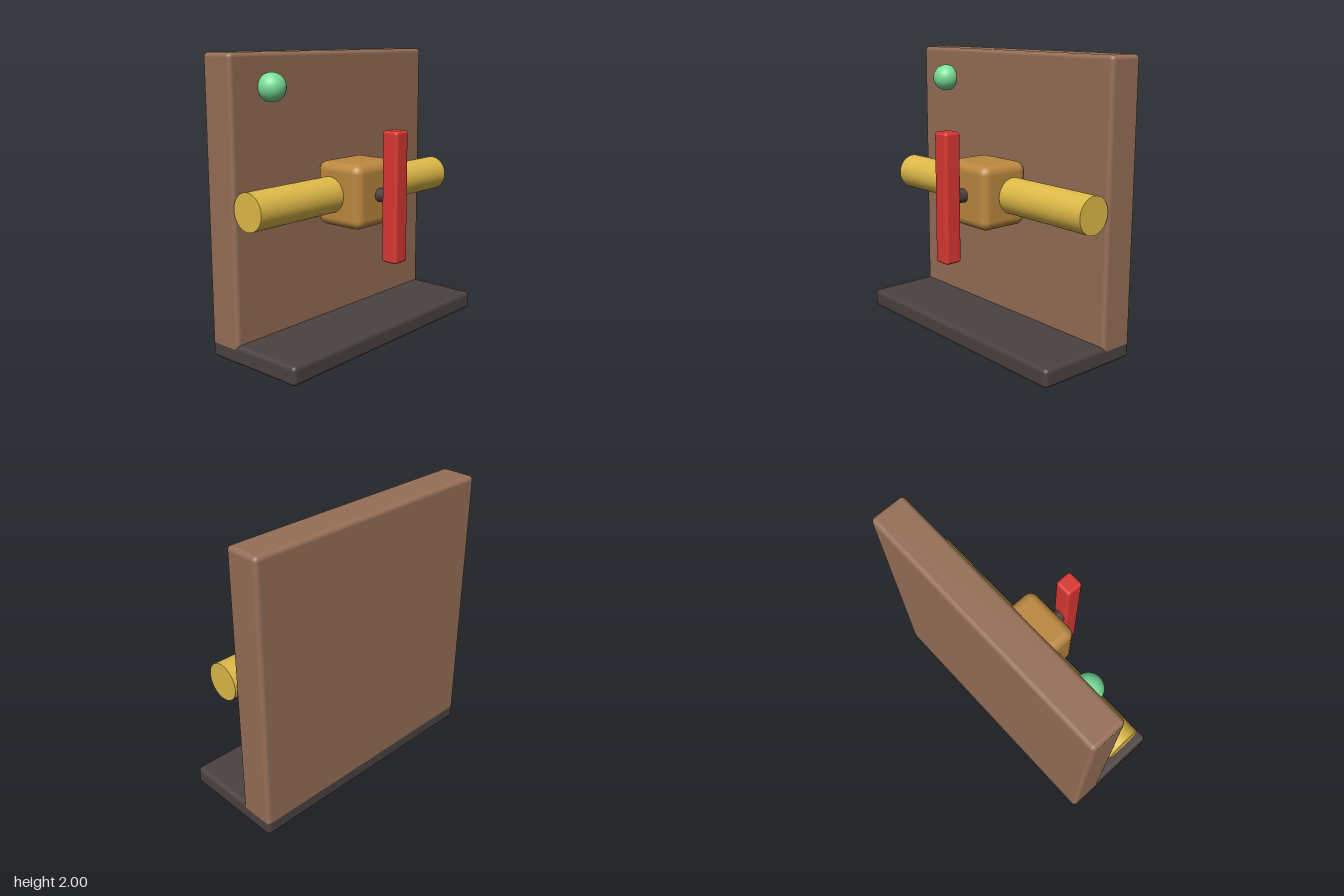
import * as THREE from 'three';
import { RoundedBoxGeometry } from 'three/addons/geometries/RoundedBoxGeometry.js';

export function createModel() {
  const model = new THREE.Group();
  model.name = 'wallMountedLatch';

  const material = (name, color) => {
    const m = new THREE.MeshStandardMaterial({ color });
    m.name = name;
    return m;
  };
  const brown = material('brown wall', 0x966f57);
  const dark = material('dark metal', 0x4b4241);
  const brass = material('yellow brass', 0xdfba49);
  const bronze = material('bronze', 0xbc8840);
  const red = material('red handle', 0xda3832);
  const green = material('green lamp', 0x78de98);

  const add = (name, geometry, mat, x, y, z) => {
    const mesh = new THREE.Mesh(geometry, mat);
    mesh.name = name;
    mesh.position.set(x, y, z);
    model.add(mesh);
    return mesh;
  };
  // Rounded block given by its minimum and maximum corners
  const block = (name, mat, [x0, y0, z0], [x1, y1, z1], radius) =>
    add(name, new RoundedBoxGeometry(x1 - x0, y1 - y0, z1 - z0, 4, radius), mat,
      (x0 + x1) / 2, (y0 + y1) / 2, (z0 + z1) / 2);

  // Base plate and upright wall
  block('base', dark, [-0.965, 0, -0.415], [0.965, 0.13, 0.355], 0.03);
  block('wallPanel', brown, [-0.965, 0.07, -0.415], [0.965, 2, -0.16], 0.03);

  // Horizontal bar through the central housing
  const axisY = 1.035;
  add('bar', new THREE.CylinderGeometry(0.126, 0.126, 1.93, 48), brass, 0, axisY, -0.032)
    .rotation.z = Math.PI / 2;
  block('housing', bronze, [-0.223, 0.812, -0.16], [0.223, 1.258, 0.225], 0.064);

  // Short shaft carrying the handle
  add('shaft', new THREE.CylinderGeometry(0.048, 0.048, 0.2, 32), dark, 0, axisY, 0.25)
    .rotation.x = Math.PI / 2;
  block('handle', red, [-0.063, 0.587, 0.293], [0.063, 1.485, 0.418], 0.02);

  // Round indicator lamp set into the wall
  add('indicatorLamp', new THREE.SphereGeometry(0.095, 32, 20), green, -0.65, 1.78, -0.128);

  return model;
}
